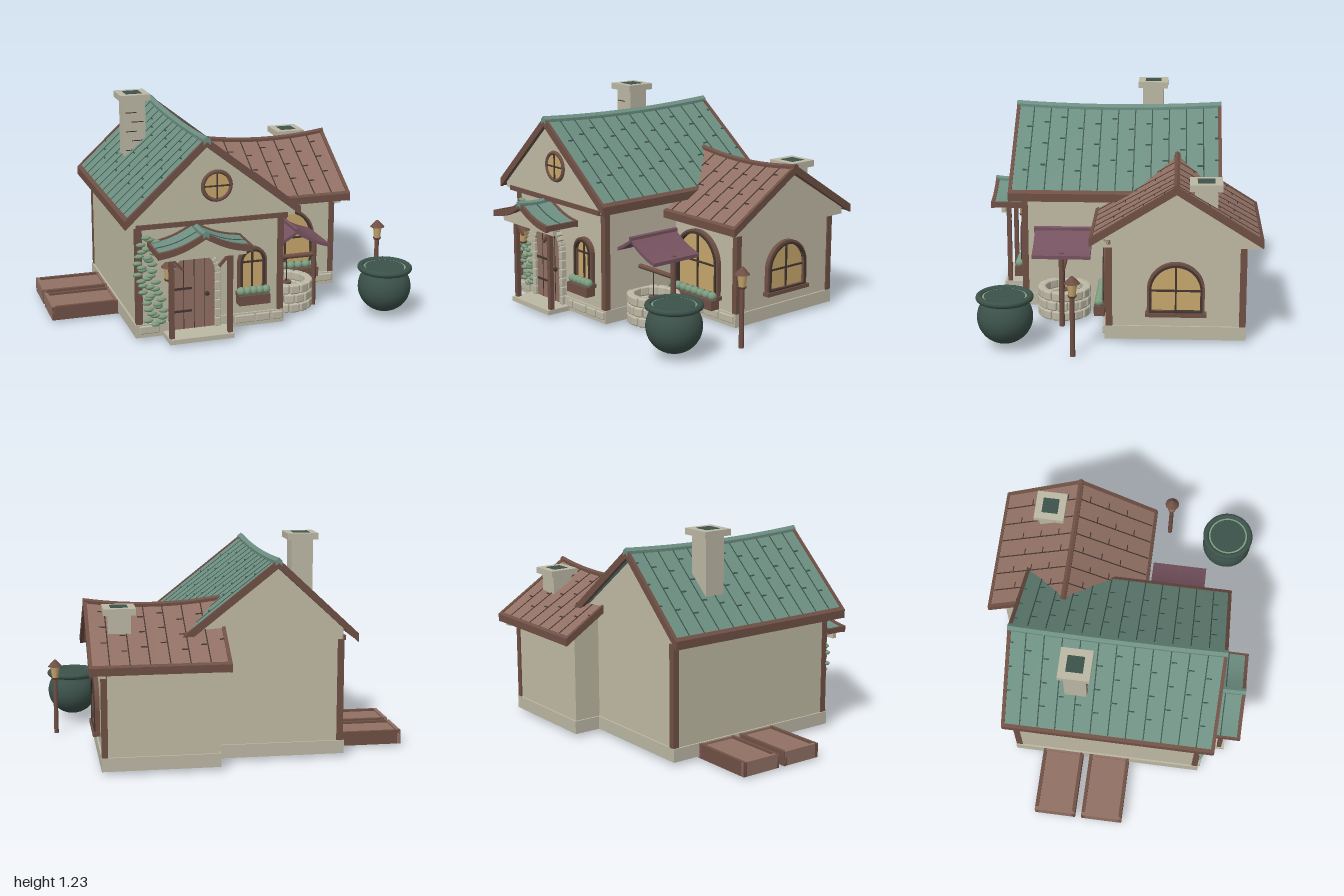
import * as THREE from 'three';
import { RoundedBoxGeometry } from 'three/addons/geometries/RoundedBoxGeometry.js';

const M = {};
for (const [name, color] of Object.entries({
  plaster: 0xc0baa4, stone: 0xbdb8a5, brown: 0x917064, trim: 0x6f5045, dark: 0x43352f,
  roofGreen: 0x6d8f82, iron: 0x3c524a, leaf: 0x7d9c80, glass: 0xc8a76c, purple: 0x75525f,
})) {
  M[name] = new THREE.MeshStandardMaterial({ color });
  M[name].name = name;
}

function add(parent, name, geo, mat, x = 0, y = 0, z = 0) {
  const mesh = new THREE.Mesh(geo, mat);
  mesh.name = name;
  mesh.position.set(x, y, z);
  parent.add(mesh);
  return mesh;
}
// box given by its min and max on each axis
function box(parent, name, mat, x0, x1, y0, y1, z0, z1) {
  return add(parent, name, new THREE.BoxGeometry(x1 - x0, y1 - y0, z1 - z0), mat,
    (x0 + x1) / 2, (y0 + y1) / 2, (z0 + z1) / 2);
}
function group(parent, name, x = 0, y = 0, z = 0) {
  const g = new THREE.Group();
  g.name = name;
  g.position.set(x, y, z);
  parent.add(g);
  return g;
}
function prism(parent, name, mat, points, z0, z1) {
  const shape = new THREE.Shape(points.map(p => new THREE.Vector2(...p)));
  return add(parent, name, new THREE.ExtrudeGeometry(shape, { depth: z1 - z0, bevelEnabled: false }), mat, 0, 0, z0);
}
const cyl = (r0, r1, h, n = 16) => new THREE.CylinderGeometry(r0, r1, h, n);

// Piece of a sagging roof side: u runs from ridge (0) to eave (1)
function roofPart(g, name, mat, R, side, u0, u1, z0, z1, lift, thick) {
  const geo = new THREE.BoxGeometry(1, 1, 1, R.curve ? 8 : 2, 1, z1 - z0 > 0.1 ? 14 : 1);
  const p = geo.attributes.position;
  const width = side < 0 ? R.left : R.right;
  for (let i = 0; i < p.count; i++) {
    const t = side > 0 ? p.getX(i) + 0.5 : 0.5 - p.getX(i);
    const u = u0 + (u1 - u0) * t;
    const z = z0 + (z1 - z0) * (p.getZ(i) + 0.5);
    const k = (2 * z - R.z0 - R.z1) / (R.z1 - R.z0);
    const y = R.y - u * R.drop - R.sag * (1 - u) * (1 - k * k) - R.curve * Math.sin(Math.PI * u);
    p.setXYZ(i, R.x + side * u * width, y + lift + (p.getY(i) - 0.5) * thick, z);
  }
  geo.computeVertexNormals();
  add(g, name, geo, mat);
}
function roof(parent, name, mat, seamMat, edgeMat, R) {
  const g = group(parent, name);
  for (const s of [-1, 1]) {
    roofPart(g, 'roofSlab', mat, R, s, 0, 1, R.z0, R.z1, 0, R.thick);
    roofPart(g, 'ridgeCap', R.capMat, R, s, 0, R.cap, R.z0 - 0.005, R.z1 + 0.005, 0.016, 0.03);
    if (edgeMat) {
      for (const z of [R.z0 - 0.004, R.z1 - 0.016])
        roofPart(g, 'bargeBoard', edgeMat, R, s, 0, 1.01, z, z + 0.02, 0.008, R.thick + 0.016);
      roofPart(g, 'eaveBoard', edgeMat, R, s, 0.975, 1.015, R.z0, R.z1, 0.008, R.thick + 0.012);
    }
    // plank seams and staggered joints
    const step = (R.z1 - R.z0) / R.planks;
    for (let i = 0; i < R.planks; i++) {
      const z = R.z0 + i * step;
      if (i) roofPart(g, 'seam', seamMat, R, s, 0.03, 0.97, z - 0.003, z + 0.003, 0.003, 0.006);
      for (let j = 0; j < R.joints; j++) {
        const u = 0.14 + j * 0.24 + (i % 3) * 0.06;
        roofPart(g, 'joint', seamMat, R, s, u, u + 0.012, z + 0.005, z + step * 0.35, 0.003, 0.006);
      }
    }
  }
}

function arch(w, base, cy) {
  const s = new THREE.Shape();
  s.moveTo(-w, base);
  s.lineTo(w, base);
  s.lineTo(w, cy);
  s.absarc(0, cy, w, 0, Math.PI, false);
  s.closePath();
  return s;
}
const plate = (shape, depth) => new THREE.ExtrudeGeometry(shape, { depth, bevelEnabled: false, curveSegments: 20 });

// Arched window facing +z, local origin on the wall
function archWindow(parent, x, z, w, base, cy) {
  const g = group(parent, 'archedWindow', x, 0, z);
  for (const [r, d, m] of [[w, 0.025, M.trim], [w - 0.012, 0.032, M.dark]]) {
    const outer = arch(r, base, cy);
    outer.holes.push(arch(w - 0.024, base + 0.02, cy));
    add(g, 'windowFrame', plate(outer, d), m);
  }
  add(g, 'windowPane', plate(arch(w - 0.02, base + 0.01, cy), 0.008), M.glass);
  box(g, 'mullion', M.dark, -0.005, 0.005, base, cy + w - 0.02, 0, 0.016);
  box(g, 'crossBar', M.dark, -w + 0.02, w - 0.02, cy - 0.01, cy, 0, 0.016);
  box(g, 'sill', M.trim, -w - 0.01, w + 0.01, base - 0.012, base + 0.01, 0, 0.04);
}
function planter(parent, x0, x1, y0, z0, count) {
  const g = group(parent, 'planter');
  box(g, 'planterBox', M.trim, x0, x1, y0, y0 + 0.055, z0, z0 + 0.06);
  for (let i = 0; i < count; i++) {
    const bush = add(g, 'bush', new THREE.SphereGeometry(0.026, 10, 8), M.leaf,
      x0 + (i + 0.5) * (x1 - x0) / count, y0 + 0.075, z0 + 0.032);
    bush.scale.y = 0.95;
  }
}
function chimney(parent, x, z, y0, y1) {
  const g = group(parent, 'chimney', x, 0, z);
  box(g, 'shaft', M.stone, -0.062, 0.062, y0, y1 - 0.03, -0.062, 0.062);
  box(g, 'cap', M.stone, -0.088, 0.088, y1 - 0.036, y1, -0.088, 0.088);
  box(g, 'flue', M.iron, -0.047, 0.047, y1 - 0.01, y1 + 0.002, -0.047, 0.047);
  for (let y = y0 + 0.06, i = 0; y < y1 - 0.06; y += 0.055, i++)
    box(g, 'brickJoint', M.dark, i % 2 ? -0.02 : -0.055, i % 2 ? 0.05 : 0.01, y, y + 0.005, 0.06, 0.064);
}
function lantern(parent, x, y, z) {
  const g = group(parent, 'lantern', x, y, z);
  add(g, 'lanternBase', cyl(0.026, 0.02, 0.012, 8), M.trim, 0, 0.006);
  add(g, 'lanternGlass', cyl(0.028, 0.019, 0.07, 8), M.glass, 0, 0.045);
  add(g, 'lanternCap', cyl(0.006, 0.043, 0.04, 12), M.trim, 0, 0.098);
}

export function createModel() {
  const house = new THREE.Group();
  house.name = 'cottage';

  // Main block and its attic
  box(house, 'mainFoundation', M.stone, -0.62, 0.235, 0.02, 0.095, -0.54, 0.57);
  box(house, 'mainWalls', M.plaster, -0.61, 0.228, 0.09, 0.66, -0.53, 0.558);
  prism(house, 'mainAttic', M.plaster, [[-0.61, 0.65], [0.228, 0.65], [0.228, 0.72], [-0.235, 1.075], [-0.61, 0.73]], -0.53, 0.55);
  prism(house, 'frontGable', M.plaster, [[-0.665, 0.655], [0.28, 0.655], [0.28, 0.69], [-0.235, 1.1], [-0.665, 0.695]], 0.55, 0.602);
  roof(house, 'mainRoof', M.roofGreen, M.iron, M.trim, {
    x: -0.235, y: 1.12, left: 0.445, right: 0.53, drop: 0.415, sag: 0.02, curve: 0,
    z0: -0.57, z1: 0.63, thick: 0.034, cap: 0.04, capMat: M.roofGreen, planks: 12, joints: 3,
  });
  for (const x of [-0.596, 0.213]) for (const z of [-0.52, 0.548])
    box(house, 'cornerPost', M.trim, x - 0.018, x + 0.018, 0.09, 0.67, z - 0.018, z + 0.018);
  box(house, 'frontBeam', M.trim, -0.62, 0.235, 0.645, 0.672, 0.55, 0.61);
  for (const x of [-0.615, 0.228]) box(house, 'sideBeam', M.trim, x - 0.01, x + 0.01, 0.665, 0.69, -0.53, 0.6);
  for (const [a, b] of [[-0.6, -0.49], [-0.1, -0.065], [-0.055, 0.06], [0.07, 0.15], [0.16, 0.225]])
    add(house, 'foundationStone', new RoundedBoxGeometry(b - a, 0.045, 0.02, 2, 0.006), M.stone, (a + b) / 2, 0.065, 0.572);
  chimney(house, -0.437, -0.17, 0.84, 1.228);

  // Round gable window
  const round = group(house, 'roundWindow', -0.17, 0.855, 0.603);
  add(round, 'roundPane', cyl(0.076, 0.076, 0.008, 32), M.glass).rotation.x = Math.PI / 2;
  add(round, 'roundFrame', new THREE.TorusGeometry(0.078, 0.012, 8, 32), M.trim);
  box(round, 'mullion', M.dark, -0.004, 0.004, -0.075, 0.075, 0, 0.01);
  box(round, 'crossBar', M.dark, -0.075, 0.075, -0.004, 0.004, 0, 0.01);

  // Side wing
  box(house, 'wingFoundation', M.stone, 0.1, 0.745, 0.02, 0.095, -0.7, 0.065);
  box(house, 'wingWalls', M.plaster, 0.11, 0.735, 0.09, 0.56, -0.69, 0.05);
  const wing = group(house, 'wingTop');
  wing.rotation.y = Math.PI / 2;
  prism(wing, 'wingAttic', M.plaster, [[-0.05, 0.55], [0.69, 0.55], [0.69, 0.62], [0.32, 0.83], [-0.05, 0.62]], 0.11, 0.735);
  prism(wing, 'wingGable', M.plaster, [[-0.115, 0.543], [0.76, 0.543], [0.76, 0.59], [0.32, 0.865], [-0.115, 0.59]], 0.72, 0.76);
  roof(wing, 'wingRoof', M.brown, M.dark, M.trim, {
    x: 0.32, y: 0.885, left: 0.455, right: 0.455, drop: 0.285, sag: 0.03, curve: 0,
    z0: 0.055, z1: 0.805, thick: 0.03, cap: 0.035, capMat: M.trim, planks: 7, joints: 3,
  });
  archWindow(wing, 0.32, 0.737, 0.155, 0.17, 0.305);
  for (const z of [0.04, -0.68]) box(house, 'wingPost', M.trim, 0.71, 0.743, 0.09, 0.58, z - 0.018, z + 0.018);
  box(house, 'wingBeam', M.trim, 0.228, 0.76, 0.56, 0.585, 0.03, 0.07);
  for (let i = 0; i < 4; i++)
    add(house, 'foundationStone', new RoundedBoxGeometry(0.11, 0.045, 0.02, 2, 0.006), M.stone, 0.31 + i * 0.122, 0.065, 0.066);
  chimney(house, 0.627, -0.477, 0.68, 0.877);
  archWindow(house, 0.43, 0.05, 0.18, 0.16, 0.34);
  planter(house, 0.24, 0.62, 0.1, 0.07, 8);

  // Small front window
  archWindow(house, 0.045, 0.558, 0.083, 0.22, 0.4);
  planter(house, -0.045, 0.135, 0.16, 0.565, 5);

  // Door with stone arch
  const door = group(house, 'door', -0.29, 0, 0.558);
  add(door, 'doorLeaf', plate(arch(0.118, 0.04, 0.362), 0.015), M.brown);
  for (const x of [-0.06, 0, 0.06]) box(door, 'plankSeam', M.dark, x - 0.002, x + 0.002, 0.045, 0.455, 0.01, 0.017);
  for (const y of [0.15, 0.28]) box(door, 'hinge', M.dark, -0.115, -0.015, y - 0.006, y + 0.006, 0.01, 0.021);
  add(door, 'doorKnob', new THREE.SphereGeometry(0.013, 10, 8), M.dark, 0.072, 0.24, 0.022);
  for (let i = 0; i < 15; i++) {
    const a = (i + 0.5) * Math.PI / 15;
    add(door, 'archStone', new RoundedBoxGeometry(0.03, 0.026, 0.04, 1, 0.004), M.stone,
      0.132 * Math.cos(a), 0.362 + 0.132 * Math.sin(a), 0.012).rotation.z = a;
  }
  for (const s of [-1, 1]) for (let i = 0; i < 6; i++)
    add(door, 'jambStone', new RoundedBoxGeometry(0.03, 0.05, 0.04, 1, 0.004), M.stone, s * 0.132, 0.07 + i * 0.053, 0.012);

  // Porch
  const porch = group(house, 'porch', -0.285);
  box(porch, 'porchStep', M.stone, -0.182, 0.182, 0.018, 0.045, 0.55, 0.715);
  roof(porch, 'porchRoof', M.roofGreen, M.iron, M.trim, {
    x: 0, y: 0.645, left: 0.258, right: 0.258, drop: 0.09, sag: 0.008, curve: 0.018,
    z0: 0.555, z1: 0.775, thick: 0.02, cap: 0.07, capMat: M.roofGreen, planks: 2, joints: 0,
  });
  prism(porch, 'porchGable', M.plaster, [[-0.245, 0.495], [0.245, 0.495], [0.245, 0.53], [0.12, 0.56], [0, 0.62], [-0.12, 0.56], [-0.245, 0.53]], 0.695, 0.72);
  for (const s of [-1, 1]) {
    box(porch, 'porchPost', M.trim, s * 0.165 - 0.013, s * 0.165 + 0.013, 0.045, 0.52, 0.672, 0.698);
    box(porch, 'porchRail', M.trim, s * 0.165 - 0.013, s * 0.165 + 0.013, 0.505, 0.53, 0.555, 0.7);
    const brace = add(porch, 'porchBrace', new THREE.BoxGeometry(0.014, 0.1, 0.016), M.trim, s * 0.135, 0.465, 0.685);
    brace.rotation.z = -s * 0.75;
  }
  lantern(house, -0.452, 0.36, 0.64);

  // Climbing ivy
  const ivy = group(house, 'ivy');
  for (let i = 0; i < 40; i++) {
    const y = 0.09 + i * 0.0128;
    const x = -0.535 + 0.03 * Math.sin(y * 11) + 0.045 * Math.sin(i * 2.4);
    add(ivy, 'ivyLeaf', new THREE.SphereGeometry(1, 8, 6), M.leaf, x, y, 0.572).scale.set(0.028, 0.013, 0.016);
  }

  // Cellar hatches on the left side of the plan
  for (const z0 of [-0.37, -0.09]) {
    const g = group(house, 'cellarHatch', 0, 0, z0);
    box(g, 'hatchBody', M.brown, -0.985, -0.61, 0.015, 0.08, 0.015, 0.225);
    for (const z of [0, 0.222]) box(g, 'hatchRail', M.trim, -1, -0.61, 0.012, 0.092, z, z + 0.02);
    for (const x of [-1, -0.632]) box(g, 'hatchEnd', M.brown, x, x + 0.02, 0.012, 0.092, 0, 0.242);
  }

  // Well
  const well = group(house, 'well', 0.345, 0, 0.315);
  for (let row = 0; row < 3; row++) for (let i = 0; i < 14; i++) {
    const a = (i + row % 2 * 0.5) * Math.PI / 7;
    add(well, 'wellStone', new RoundedBoxGeometry(0.059, 0.054, 0.045, 2, 0.01), M.stone,
      0.127 * Math.sin(a), 0.045 + row * 0.056, 0.127 * Math.cos(a)).rotation.y = a;
  }
  add(well, 'wellWater', cyl(0.118, 0.118, 0.05, 28), M.iron, 0, 0.045);
  for (const s of [-1, 1]) add(well, 'wellPost', cyl(0.015, 0.015, 0.43, 10), M.trim, s * 0.168, 0.215);
  add(well, 'windlass', cyl(0.014, 0.014, 0.36, 10), M.trim, 0, 0.31).rotation.z = Math.PI / 2;
  add(well, 'rope', cyl(0.003, 0.003, 0.16, 6), M.dark, 0, 0.23);
  add(well, 'bucket', cyl(0.03, 0.024, 0.05, 12), M.trim, 0, 0.135);
  roof(well, 'wellRoof', M.purple, M.purple, null, {
    x: 0, y: 0.515, left: 0.198, right: 0.198, drop: 0.095, sag: 0, curve: 0.012,
    z0: -0.162, z1: 0.162, thick: 0.02, cap: 0.05, capMat: M.purple, planks: 1, joints: 0,
  });

  // Cauldron
  const pot = group(house, 'cauldron', 0.838, 0, 0.59);
  const profile = [];
  for (let i = 0; i <= 16; i++) {
    const a = -Math.PI / 2 + i * 2.26 / 16;
    profile.push(new THREE.Vector2(Math.max(0, 0.15 * Math.cos(a)), 0.175 + 0.146 * Math.sin(a)));
  }
  profile.push(new THREE.Vector2(0.125, 0.285));
  add(pot, 'potBody', new THREE.LatheGeometry(profile, 36), M.iron);
  const rim = add(pot, 'potRim', new THREE.TorusGeometry(0.137, 0.018, 10, 36), M.iron, 0, 0.285);
  rim.rotation.x = Math.PI / 2;
  add(pot, 'potBrewRing', cyl(0.122, 0.122, 0.01, 32), M.leaf, 0, 0.284);
  add(pot, 'potBrew', cyl(0.11, 0.11, 0.01, 32), M.iron, 0, 0.287);

  // Lamp post
  add(house, 'lampPost', cyl(0.013, 0.014, 0.33, 10), M.trim, 0.955, 0.165, 0.22);
  lantern(house, 0.955, 0.328, 0.22);
  return house;
}
